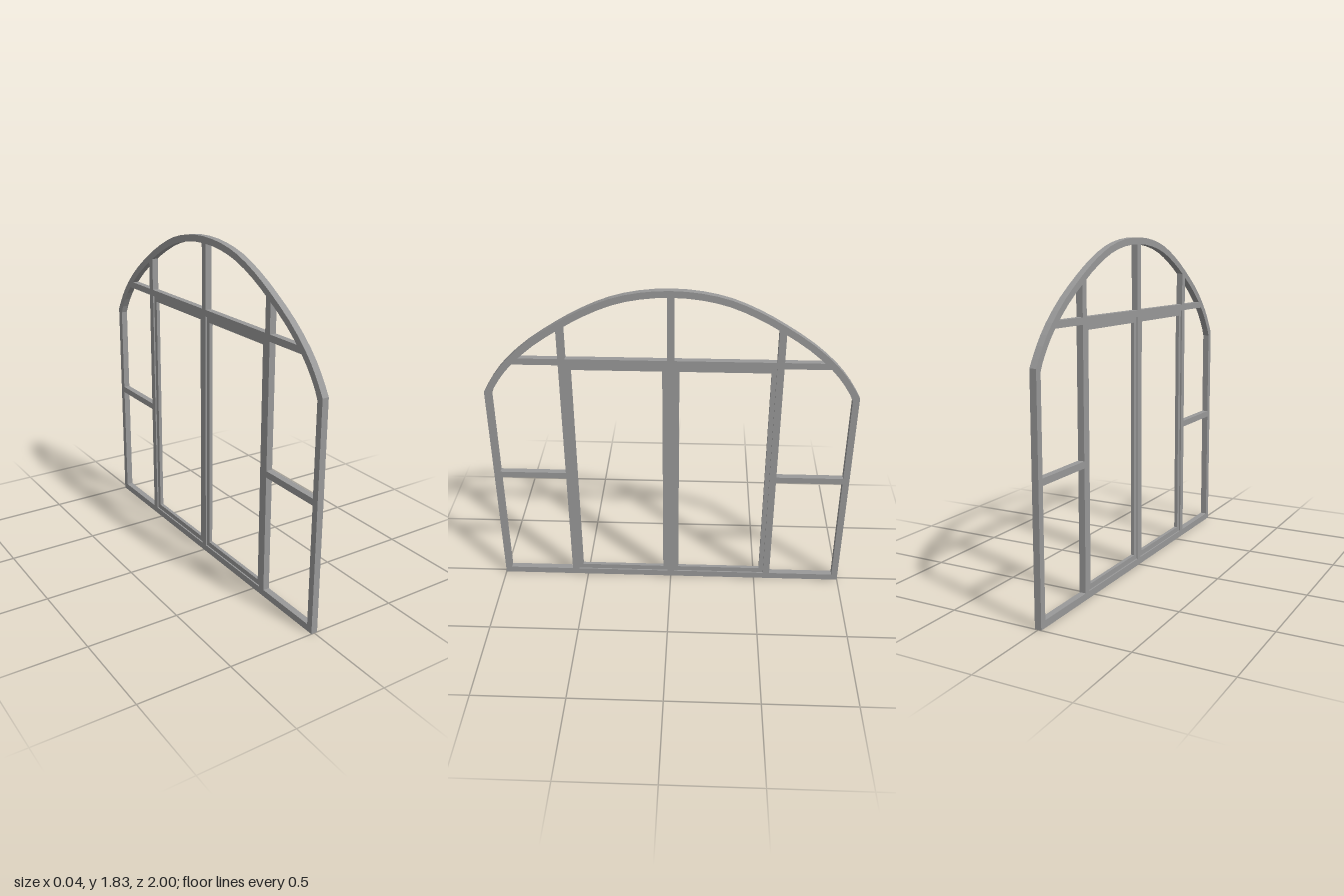
import * as THREE from 'three';

const DEPTH = 0.036;      // frame thickness along x
const SASH_DEPTH = 0.02;  // thinner door sashes
const BAR = 0.036;        // visible width of the frame bars

// Outer edge of the arch from springing to crown, as (z, y)
const ARCH = [
  [1, 1.242], [0.942, 1.337], [0.862, 1.435], [0.739, 1.544], [0.589, 1.645],
  [0.455, 1.721], [0.31, 1.783], [0.16, 1.818], [0, 1.83],
];

export function createModel() {
  const group = new THREE.Group();
  const material = new THREE.MeshStandardMaterial({ color: 0x999999, flatShading: true });

  const add = (name, geometry) => {
    const mesh = new THREE.Mesh(geometry, material);
    mesh.name = name;
    group.add(mesh);
  };

  // Bar spanning z0..z1 and y0..y1, centred on x = 0
  const bar = (name, z0, z1, y0, y1) => {
    const geometry = new THREE.BoxGeometry(DEPTH, y1 - y0, Math.abs(z1 - z0));
    geometry.translate(0, (y0 + y1) / 2, (z0 + z1) / 2);
    add(name, geometry);
  };

  // Flat outline with an opening, extruded across the thickness
  const ring = (name, outer, inner, depth) => {
    const shape = new THREE.Shape(outer);
    shape.holes.push(new THREE.Path(inner));
    const geometry = new THREE.ExtrudeGeometry(shape, { depth, bevelEnabled: false });
    geometry.translate(0, 0, -depth / 2);
    geometry.rotateY(-Math.PI / 2);
    add(name, geometry);
  };

  // Arch-headed outline, moved inwards by inset, on straight jambs
  const half = ARCH.map(([z, y]) => new THREE.Vector2(z, y));
  const mirrored = half.slice(0, -1).reverse().map((p) => new THREE.Vector2(-p.x, p.y));
  const arch = new THREE.SplineCurve([...half, ...mirrored]);
  const archOutline = (inset, bottom, segments = 32) => {
    const edge = 1 - inset;
    const points = [new THREE.Vector2(-edge, bottom), new THREE.Vector2(edge, bottom)];
    for (let i = 0; i <= segments; i++) {
      const p = arch.getPoint(i / segments);
      const t = arch.getTangent(i / segments);
      const z = THREE.MathUtils.clamp(p.x - t.y * inset, -edge, edge);
      points.push(new THREE.Vector2(z, p.y + t.x * inset));
    }
    return points;
  };

  const rectangle = (z0, z1, y0, y1) => [
    new THREE.Vector2(z0, y0), new THREE.Vector2(z1, y0),
    new THREE.Vector2(z1, y1), new THREE.Vector2(z0, y1),
  ];

  // Outer frame with arch, jambs and sill
  ring('archedFrame', archOutline(0, 0), archOutline(BAR, 0.038), DEPTH);

  // Long transom and centre mullion
  bar('transom', -0.84, 0.84, 1.408, 1.444);
  bar('centreMullion', -0.019, 0.019, 0.02, 1.81);

  // Mirrored halves: side mullion, side crossbar and door sash
  for (const s of [-1, 1]) {
    bar('sideMullion', s * 0.554, s * 0.592, 0.02, 1.635);
    bar('sideCrossbar', s * 0.585, s * 0.98, 0.694, 0.73);
    const [a, b] = [s * 0.019, s * 0.554].sort((p, q) => p - q);
    const inset = 0.026;
    ring('doorSash', rectangle(a, b, 0.038, 1.408),
      rectangle(a + inset, b - inset, 0.067, 1.378), SASH_DEPTH);
  }

  return group;
}
